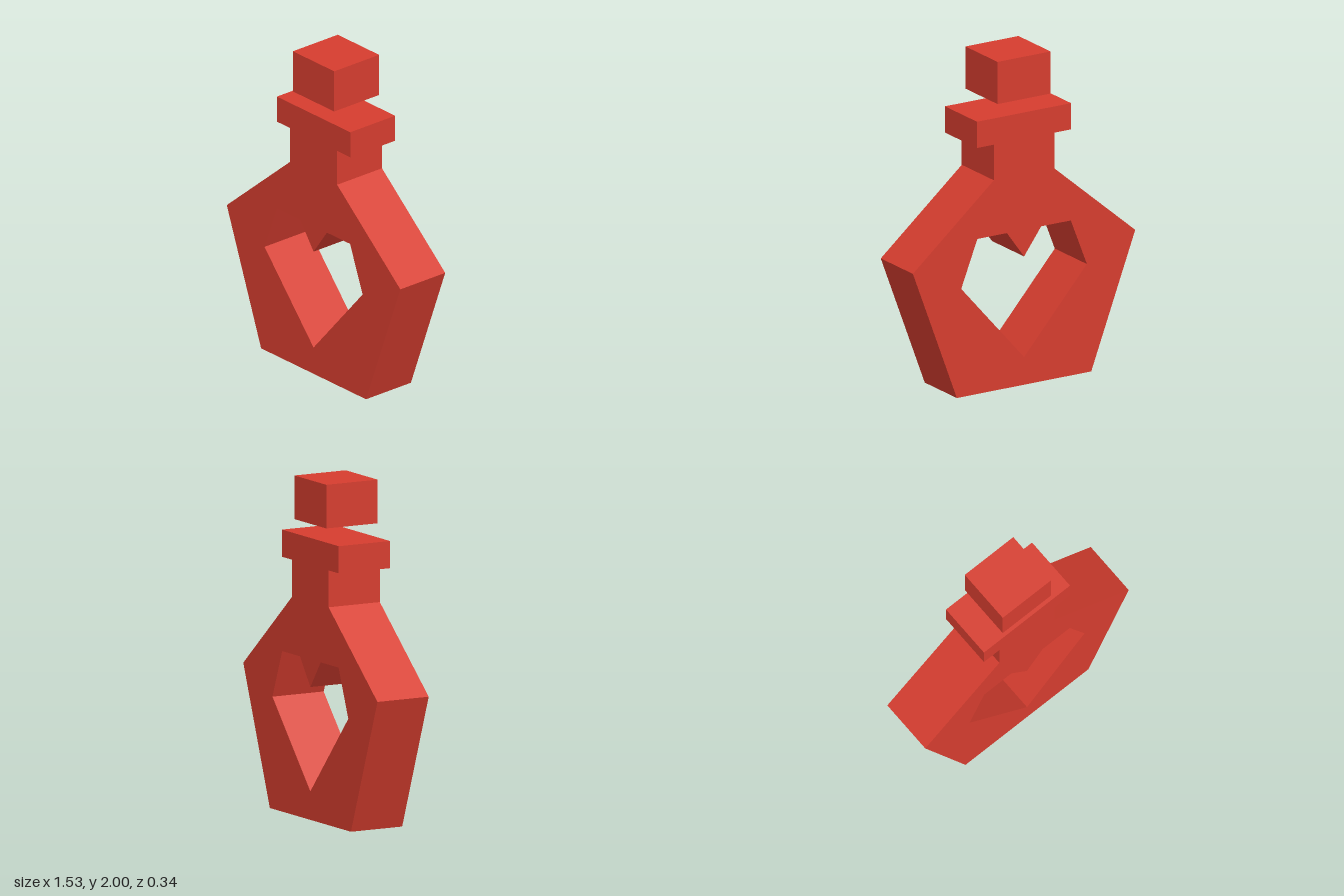
import * as THREE from 'three';

const DEPTH = 0.345;

// Full symmetric outline from the points of its +x half, listed bottom to top
function mirrored(half, Type) {
  const other = half.filter(([x]) => x > 0).reverse().map(([x, y]) => [-x, y]);
  return new Type([...half, ...other].map(([x, y]) => new THREE.Vector2(x, y)));
}

export function createModel() {
  const model = new THREE.Group();
  model.name = 'potionBottle';
  const red = new THREE.MeshStandardMaterial({ color: 0xd63d2f, flatShading: true });
  red.name = 'red';

  // Flask with shoulders, neck and lip in one silhouette
  const outline = mirrored([
    [0.463, 0], [0.766, 0.81], [0.208, 1.283], [0.208, 1.5], [0.324, 1.5], [0.324, 1.66],
  ], THREE.Shape);

  // Angular heart cut right through
  outline.holes.push(mirrored([
    [0, 0.168], [0.433, 0.66], [0.322, 0.945], [0.118, 0.945], [0, 0.782],
  ], THREE.Path));

  const flaskGeometry = new THREE.ExtrudeGeometry(outline, { depth: DEPTH, bevelEnabled: false });
  flaskGeometry.translate(0, 0, -DEPTH / 2);
  const flask = new THREE.Mesh(flaskGeometry, red);
  flask.name = 'flask';

  // Stopper floating above the lip
  const stopper = new THREE.Mesh(new THREE.BoxGeometry(0.365, 0.257, DEPTH), red);
  stopper.position.y = 2 - 0.257 / 2;
  stopper.name = 'stopper';

  model.add(flask, stopper);
  return model;
}
